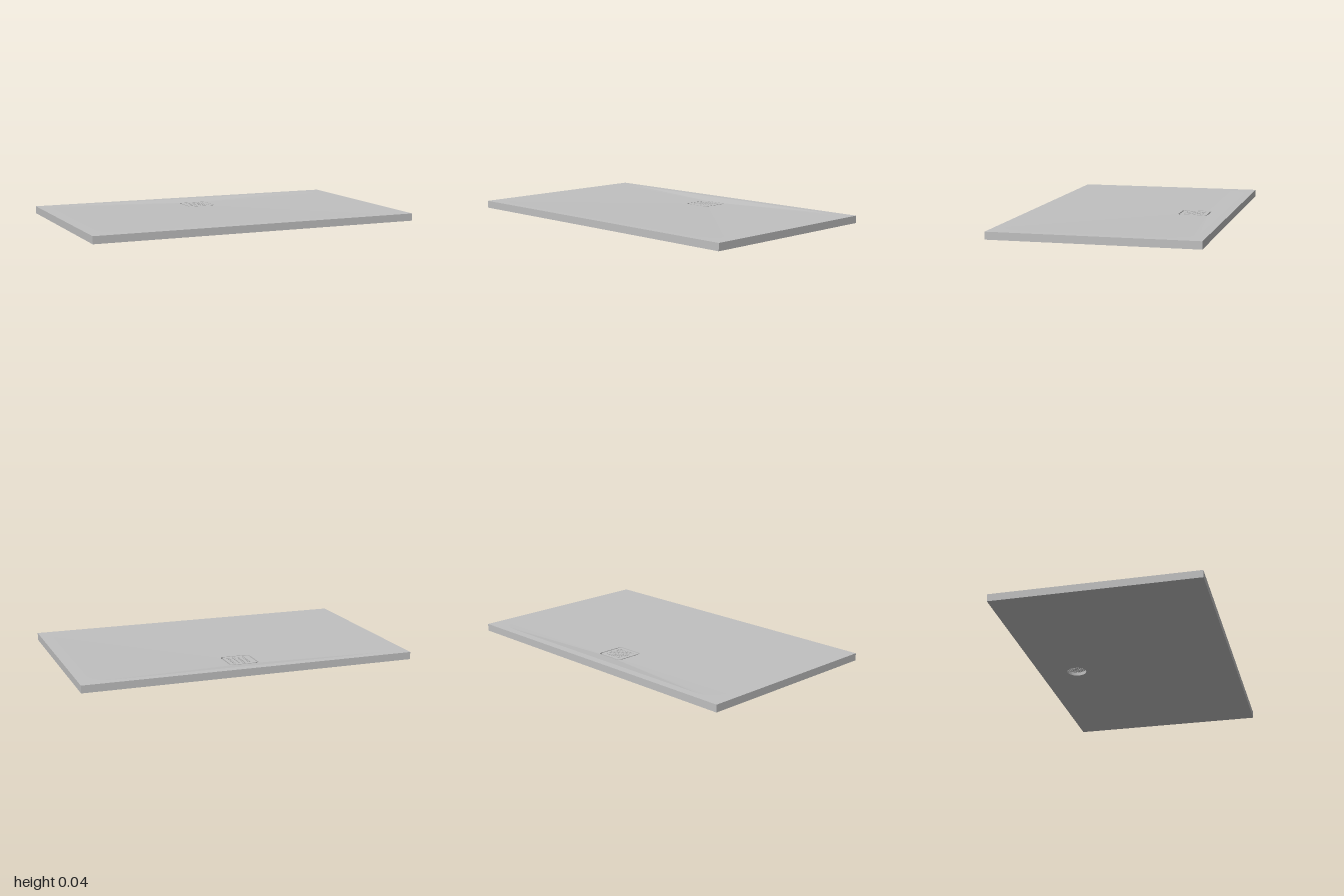
import * as THREE from 'three';

const DRAIN_Z = -0.37;
const ARC = 8; // steps in each corner

// Rounded rectangle in the xz plane, always with the same number of points
function loop(hx, hz, r, y, cz = 0) {
  const pts = [];
  [[1, 1], [-1, 1], [-1, -1], [1, -1]].forEach(([sx, sz], q) => {
    for (let i = 0; i <= ARC; i++) {
      const a = (q + i / ARC) * Math.PI / 2;
      pts.push([sx * (hx - r) + r * Math.cos(a), y, cz + sz * (hz - r) + r * Math.sin(a)]);
    }
  });
  return pts;
}

// Skin a list of loops, faceted so that the folds stay crisp
function loft(loops) {
  const pos = [];
  const n = loops[0].length;
  for (let k = 0; k < loops.length - 1; k++) {
    const lo = loops[k], hi = loops[k + 1];
    for (let i = 0; i < n; i++) {
      const j = (i + 1) % n;
      pos.push(...lo[i], ...hi[i], ...lo[j], ...lo[j], ...hi[i], ...hi[j]);
    }
  }
  const g = new THREE.BufferGeometry();
  g.setAttribute('position', new THREE.Float32BufferAttribute(pos, 3));
  g.computeVertexNormals();
  return g;
}

// Square cover with rounded corners and a field of round holes
function coverGeometry(h, r, depth) {
  const s = new THREE.Shape();
  s.moveTo(h, h - r);
  s.absarc(h - r, h - r, r, 0, Math.PI / 2);
  s.absarc(r - h, h - r, r, Math.PI / 2, Math.PI);
  s.absarc(r - h, r - h, r, Math.PI, Math.PI * 1.5);
  s.absarc(h - r, r - h, r, Math.PI * 1.5, Math.PI * 2);
  const count = 11, pitch = 0.0112;
  for (let i = 0; i < count; i++) {
    for (let j = 0; j < count; j++) {
      const hole = new THREE.Path();
      const c = (count - 1) / 2;
      hole.absarc((i - c) * pitch, (j - c) * pitch, 0.0036, 0, Math.PI * 2, true);
      s.holes.push(hole);
    }
  }
  const g = new THREE.ExtrudeGeometry(s, { depth, bevelEnabled: false, curveSegments: 8 });
  return g.rotateX(-Math.PI / 2);
}

export function createModel() {
  const group = new THREE.Group();
  const grey = new THREE.MeshStandardMaterial({ color: 0xc0c0c0 });
  grey.name = 'light grey';

  // Tray: outer wall, rim, sloping floor, drain recess, outlet and underside
  const tray = new THREE.Mesh(loft([
    loop(1, 0.6, 0, 0),
    loop(1, 0.6, 0, 0.044),
    loop(0.93, 0.55, 0.13, 0.044),
    loop(0.09, 0.09, 0.025, 0.03, DRAIN_Z),
    loop(0.09, 0.09, 0.025, 0.02, DRAIN_Z),
    loop(0.06, 0.06, 0.06, 0.02, DRAIN_Z),
    loop(0.06, 0.06, 0.06, 0, DRAIN_Z),
    loop(1, 0.6, 0, 0),
  ]), grey);
  tray.name = 'showerTray';
  group.add(tray);

  // Perforated cover resting in the recess
  const cover = new THREE.Mesh(coverGeometry(0.082, 0.02, 0.01), grey);
  cover.name = 'drainCover';
  cover.position.set(0, 0.02, DRAIN_Z);
  group.add(cover);

  return group;
}
